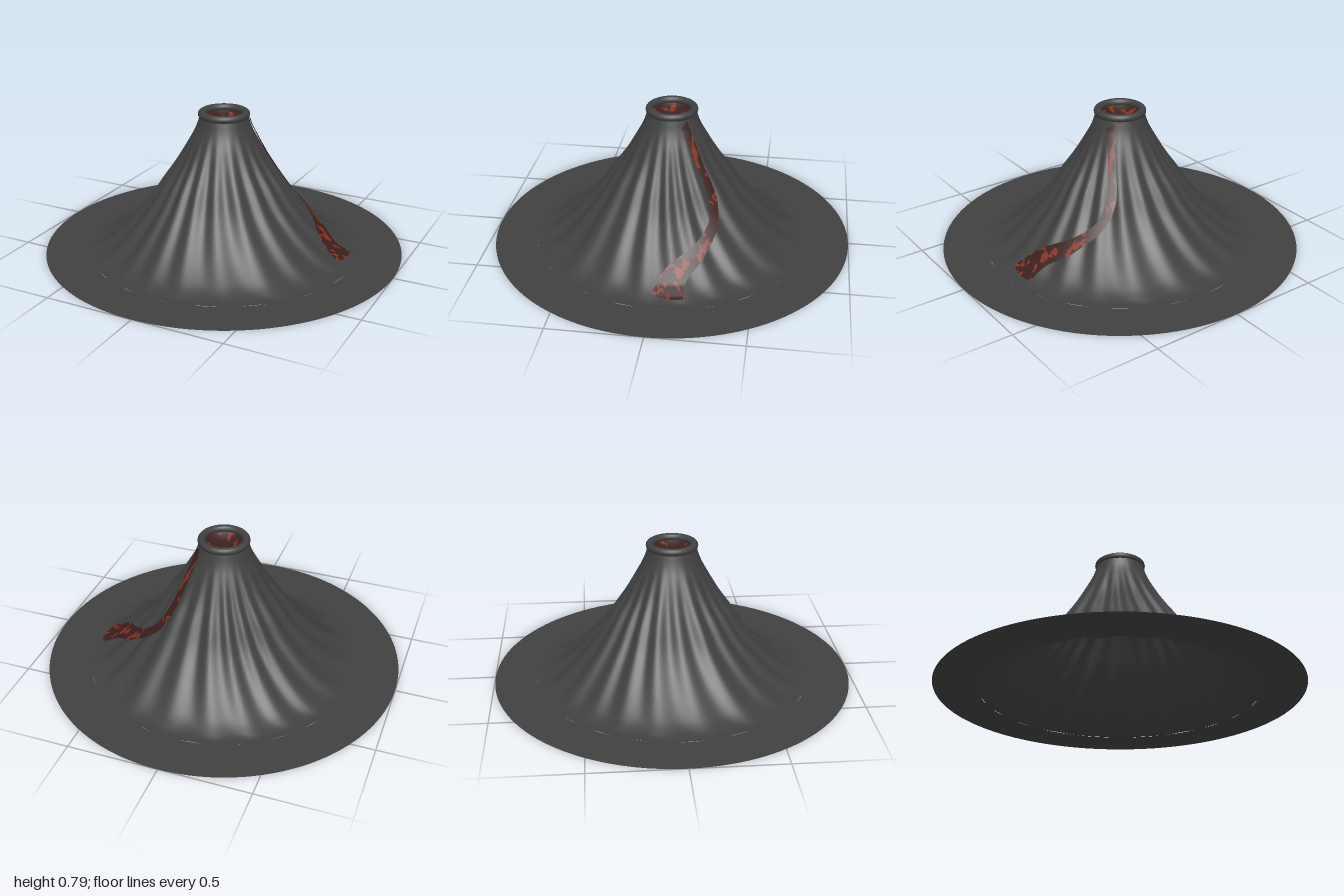
import * as THREE from 'three';
import { mergeVertices } from 'three/addons/utils/BufferGeometryUtils.js';

// Mountain outline: [radius, height] from the foot to the crater
const PROFILE = [
  [0.768, 0.002], [0.735, 0.004], [0.7, 0.014], [0.64, 0.045], [0.53, 0.135], [0.4, 0.28],
  [0.32, 0.4], [0.255, 0.5], [0.195, 0.61], [0.155, 0.69], [0.13, 0.765],
];

// Height of the slope at a given radius
function slopeHeight(r) {
  for (let i = 1; i < PROFILE.length; i++) {
    const [r0, y0] = PROFILE[i - 1], [r1, y1] = PROFILE[i];
    if (r >= r1) return y0 + (y1 - y0) * Math.min(1, (r0 - r) / (r0 - r1));
  }
  return 0.765;
}

// Smooth seeded noise in the plane, 0 to 1
function hash(x, y) {
  const s = Math.sin(x * 127.1 + y * 311.7 + 4.2) * 43758.5453;
  return s - Math.floor(s);
}
function noise(x, y) {
  const i = Math.floor(x), j = Math.floor(y), u = x - i, v = y - j;
  const a = THREE.MathUtils.lerp(hash(i, j), hash(i + 1, j), u);
  const b = THREE.MathUtils.lerp(hash(i, j + 1), hash(i + 1, j + 1), u);
  return THREE.MathUtils.lerp(a, b, v);
}

// Grid surface whose cells are either cooled crust (group 0) or glowing patches (group 1)
function lavaSurface(point, nu, nv) {
  const pos = [], cells = [[], []];
  for (let i = 0; i <= nu; i++) {
    for (let j = 0; j <= nv; j++) pos.push(...point(i / nu, j / nv).toArray());
  }
  for (let i = 0; i < nu; i++) {
    for (let j = 0; j < nv; j++) {
      const a = i * (nv + 1) + j, b = a + nv + 1;
      const c = point((i + 0.5) / nu, (j + 0.5) / nv);
      const hot = noise(c.x * 38, c.z * 38) * 0.75 + noise(c.x * 95, c.z * 95) * 0.25 > 0.64 ? 1 : 0;
      cells[hot].push(a, b, a + 1, b, b + 1, a + 1);
    }
  }
  const geo = new THREE.BufferGeometry();
  geo.setAttribute('position', new THREE.Float32BufferAttribute(pos, 3));
  geo.setIndex([...cells[0], ...cells[1]]);
  geo.addGroup(0, cells[0].length, 0);
  geo.addGroup(cells[0].length, cells[1].length, 1);
  geo.computeVertexNormals();
  return geo;
}

export function createModel() {
  const group = new THREE.Group();
  const material = (name, color) => {
    const m = new THREE.MeshStandardMaterial({ color, side: THREE.DoubleSide });
    m.name = name;
    return m;
  };
  const rock = material('dark rock', 0x404040);
  const crust = material('cooled lava', 0x3a1f1d);
  const glow = material('glowing lava', 0x86301f);
  const add = (name, geo, mat) => {
    const mesh = new THREE.Mesh(geo, mat);
    mesh.name = name;
    group.add(mesh);
    return mesh;
  };

  // Flat ground ring around the foot
  const ground = new THREE.RingGeometry(0.765, 1, 128, 1);
  ground.rotateX(-Math.PI / 2);
  add('groundRing', ground, rock);

  // Ridged slope: a smooth lathe with gently twisting gullies
  const outline = new THREE.CatmullRomCurve3(PROFILE.map(([r, y]) => new THREE.Vector3(r, y, 0)));
  const points = outline.getPoints(48).map(p => new THREE.Vector2(p.x, p.y));
  let slope = new THREE.LatheGeometry(points, 192);
  slope.deleteAttribute('normal');
  slope.deleteAttribute('uv');
  slope = mergeVertices(slope, 1e-5);
  const p = slope.attributes.position;
  for (let i = 0; i < p.count; i++) {
    const x = p.getX(i), y = p.getY(i), z = p.getZ(i);
    const r = Math.hypot(x, z), a = Math.atan2(z, x) + r * 0.4;
    const fade = THREE.MathUtils.smoothstep(r, 0.13, 0.35) * (1 - 0.75 * THREE.MathUtils.smoothstep(r, 0.68, 0.765));
    const ridge = Math.sin(a * 20 + Math.sin(a * 3)) * 0.012 + Math.sin(a * 7 + 1) * 0.006;
    const k = 1 + ridge * fade / r;
    p.setXYZ(i, x * k, y, z * k);
  }
  slope.computeVertexNormals();
  add('mountainSlope', slope, rock);

  // Rounded crater rim
  const rim = new THREE.TorusGeometry(0.121, 0.021, 16, 64);
  rim.rotateX(Math.PI / 2);
  add('craterRim', rim, rock).position.y = 0.77;

  // Shallow lava pool in the crater
  const pool = lavaSurface((u, v) => {
    const r = 0.004 + 0.112 * v, a = -u * Math.PI * 2;
    return new THREE.Vector3(r * Math.cos(a), 0.725 + 0.04 * v * v, r * Math.sin(a));
  }, 96, 28);
  // Turn the faces so that they look up
  pool.index.array.forEach((_, i, arr) => {
    if (i % 3 === 0) [arr[i + 1], arr[i + 2]] = [arr[i + 2], arr[i + 1]];
  });
  pool.computeVertexNormals();
  if (pool.attributes.normal.getY(14) < 0) {
    pool.index.array.reverse();
    pool.clearGroups();
    const total = pool.index.count;
    const hot = lavaSurfaceHotCount(pool);
    pool.addGroup(0, hot, 1);
    pool.addGroup(hot, total - hot, 0);
    pool.computeVertexNormals();
  }
  add('craterLava', pool, [crust, glow]);

  // Lava stream: a ribbon between two edge curves, laid just above the slope
  const edge = pts => new THREE.CatmullRomCurve3(pts.map(([x, z]) => new THREE.Vector3(x, 0, z)));
  const outer = edge([[0.1, -0.1], [0.16, -0.19], [0.22, -0.268], [0.325, -0.292], [0.485, -0.235], [0.62, -0.155], [0.695, -0.165]]);
  const inner = edge([[0.135, -0.07], [0.19, -0.155], [0.245, -0.22], [0.325, -0.245], [0.44, -0.19], [0.56, -0.055], [0.655, 0.012]]);
  const stream = lavaSurface((u, v) => {
    const q = outer.getPoint(u).lerp(inner.getPoint(u), v);
    // Bulge at the tip
    if (u > 0.9) q.x += (u - 0.9) * 0.9 * v * (1 - v) + (u - 0.9) * 0.3 * v;
    q.y = slopeHeight(Math.hypot(q.x, q.z)) + 0.018;
    return q;
  }, 150, 16);
  add('lavaStream', stream, [crust, glow]);

  return group;
}

// Number of indices in the glowing part of a lava surface whose order was reversed
function lavaSurfaceHotCount(geo) {
  const ids = geo.index.array;
  let n = 3;
  // The glowing cells come first and end where the vertex order starts over
  while (n < ids.length && ids[n] <= ids[n - 3] + 64) n += 3;
  return n;
}
